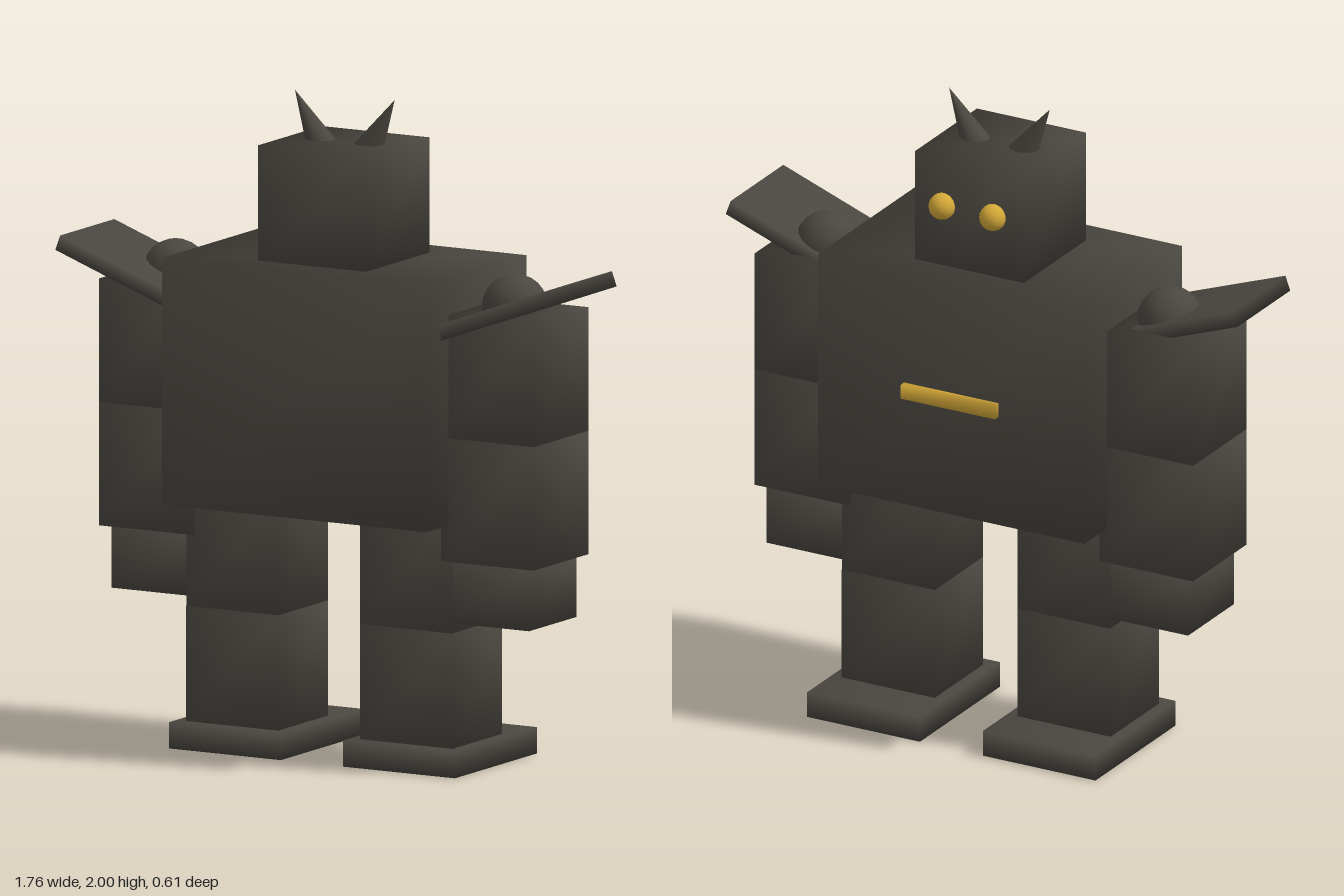
import * as THREE from 'three';
import { mergeVertices } from 'three/addons/utils/BufferGeometryUtils.js';

const dark = new THREE.MeshStandardMaterial({ color: 0x4a4640 });
dark.name = 'dark iron';
const gold = new THREE.MeshStandardMaterial({ color: 0xd4a838 });
gold.name = 'gold';

// Box with shared corners, so its shading runs smoothly over the edges
function softBox(w, h, d) {
  const g = new THREE.BoxGeometry(w, h, d);
  g.deleteAttribute('normal');
  g.deleteAttribute('uv');
  const merged = mergeVertices(g);
  merged.computeVertexNormals();
  return merged;
}

export function createModel() {
  const model = new THREE.Group();
  model.name = 'robot';

  const add = (name, geometry, material, x, y, z) => {
    const mesh = new THREE.Mesh(geometry, material);
    mesh.name = name;
    mesh.position.set(x, y, z);
    model.add(mesh);
    return mesh;
  };
  // Box given by its limits on each axis
  const block = (name, x0, x1, y0, y1, z0, z1, material = dark) =>
    add(name, softBox(x1 - x0, y1 - y0, z1 - z0), material,
      (x0 + x1) / 2, (y0 + y1) / 2, (z0 + z1) / 2);

  block('torso', -0.46, 0.456, 0.76, 1.51, -0.285, 0.305);
  block('head', -0.189, 0.185, 1.51, 1.86, -0.175, 0.2);
  block('mouth', -0.163, 0.16, 1.11, 1.155, -0.306, -0.27, gold);

  for (const s of [-1, 1]) {
    const side = s > 0 ? 'left' : 'right';
    // Mirrored block: a is the inner and b the outer distance from the middle
    const pair = (name, a, b, ...rest) => {
      const c = -0.002;
      return block(side + name, c + Math.min(s * a, s * b), c + Math.max(s * a, s * b), ...rest);
    };

    // Legs
    pair('Foot', 0.108, 0.495, 0, 0.08, -0.285, 0.2);
    pair('Shin', 0.142, 0.462, 0.08, 0.43, -0.135, 0.158);
    pair('Thigh', 0.142, 0.46, 0.43, 0.8, -0.135, 0.158);

    // Arms
    pair('UpperArm', 0.44, 0.753, 1.025, 1.4, -0.15, 0.174);
    pair('Forearm', 0.432, 0.753, 0.65, 1.025, -0.15, 0.174);
    pair('Hand', 0.455, 0.724, 0.46, 0.65, -0.128, 0.152);

    // Shoulder plate, rising outwards, with a round joint
    const plate = add(side + 'ShoulderPlate', softBox(0.48, 0.048, 0.32), dark, s * 0.645, 1.423, 0.062);
    plate.rotation.z = s * 0.35;
    add(side + 'ShoulderBall', new THREE.SphereGeometry(0.1, 16, 12), dark, s * 0.588, 1.41, 0.007);

    // Horn, leaning outwards
    const horn = add(side + 'Horn', new THREE.ConeGeometry(0.05, 0.2, 16), dark, s * 0.123, 1.914, 0.01);
    horn.rotation.z = -s * 0.52;

    add(side + 'Eye', new THREE.SphereGeometry(0.041, 16, 12), gold, s * 0.087, 1.705, -0.184);
  }

  return model;
}
